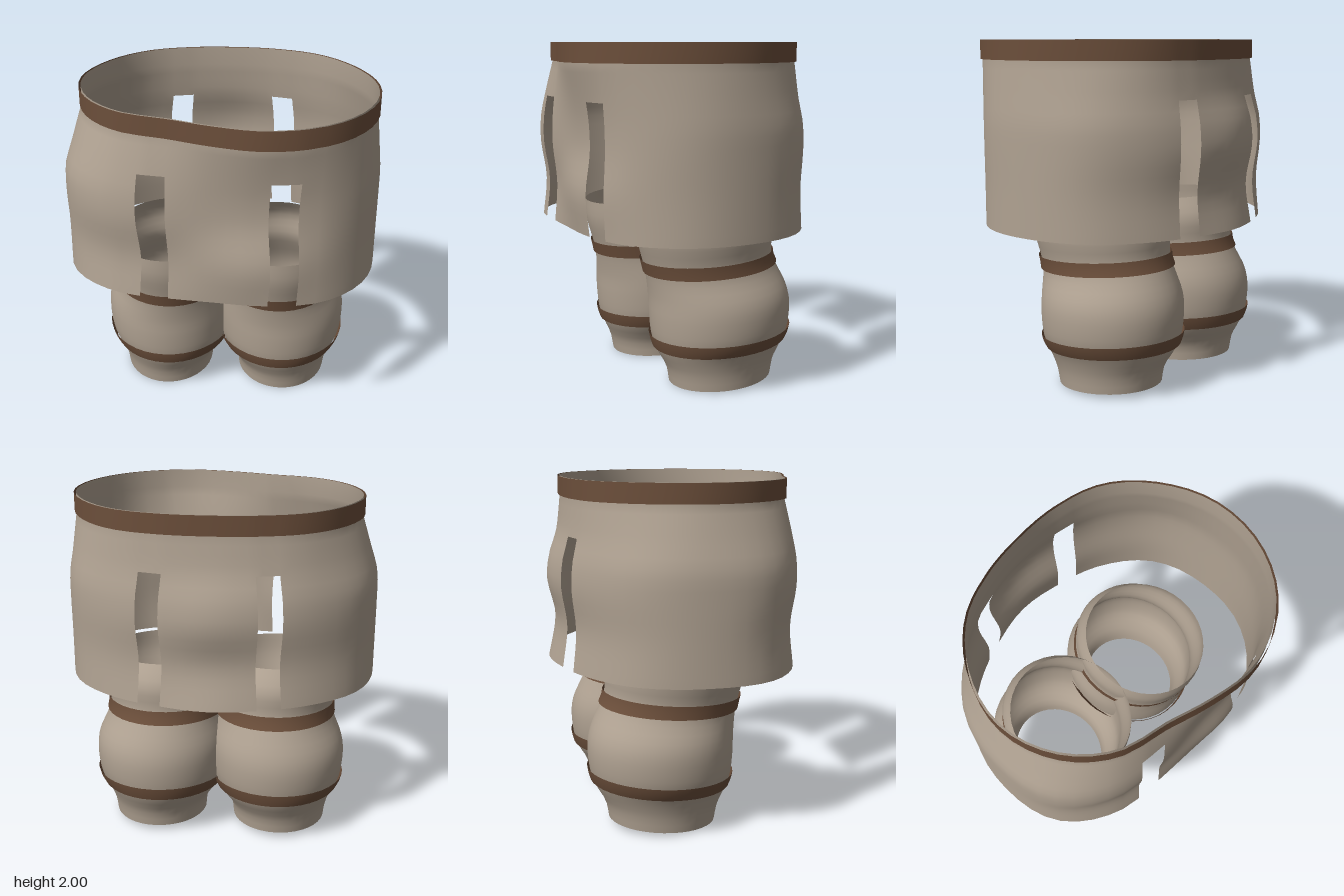
import * as THREE from 'three';

const cloth = new THREE.MeshStandardMaterial({ color: 0xb0a292, side: THREE.DoubleSide });
cloth.name = 'taupe cloth';
const leather = new THREE.MeshStandardMaterial({ color: 0x6c4f3b, side: THREE.DoubleSide });
leather.name = 'brown leather';

const DEG = Math.PI / 180;

// Smooth curve through (xs, ys), xs ascending, clamped at both ends
function sample(xs, ys, x) {
  const n = xs.length;
  if (x <= xs[0]) return ys[0];
  if (x >= xs[n - 1]) return ys[n - 1];
  let i = 0;
  while (x > xs[i + 1]) i++;
  const slope = (k) => {
    const a = Math.max(k - 1, 0), b = Math.min(k + 1, n - 1);
    return (ys[b] - ys[a]) / (xs[b] - xs[a]);
  };
  const h = xs[i + 1] - xs[i], t = (x - xs[i]) / h, t2 = t * t, t3 = t2 * t;
  return (2 * t3 - 3 * t2 + 1) * ys[i] + (t3 - 2 * t2 + t) * h * slope(i)
    + (3 * t2 - 2 * t3) * ys[i + 1] + (t3 - t2) * h * slope(i + 1);
}

// Smooth closed curve through evenly spaced values
function sampleLoop(values, degrees) {
  const n = values.length, u = (((degrees % 360) + 360) % 360) / 360 * n;
  const i = Math.floor(u), t = u - i;
  const [a, b, c, d] = [-1, 0, 1, 2].map((k) => values[(i + k + n) % n]);
  return b + 0.5 * t * (c - a + t * (2 * a - 5 * b + 4 * c - d + t * (3 * (b - c) + d - a)));
}

// Closed sheet: rows run top to bottom, columns run round from +z towards +x
function loft(name, material, rows, cols, point, isOpen = () => false) {
  const pos = [], index = [], n = cols.length;
  for (const y of rows) for (const a of cols) pos.push(...point(a, y));
  for (let i = 0; i < rows.length - 1; i++) {
    for (let j = 0; j < n; j++) {
      const k = (j + 1) % n;
      const next = k === 0 ? cols[0] + 360 : cols[k];
      if (isOpen((cols[j] + next) / 2, (rows[i] + rows[i + 1]) / 2)) continue;
      const a = i * n + j, b = i * n + k, c = a + n, d = b + n;
      index.push(c, d, b, c, b, a);
    }
  }
  const g = new THREE.BufferGeometry();
  g.setAttribute('position', new THREE.Float32BufferAttribute(pos, 3));
  g.setIndex(index);
  g.computeVertexNormals();
  const mesh = new THREE.Mesh(g, material);
  mesh.name = name;
  return mesh;
}

const steps = (from, to, n) => Array.from({ length: n + 1 }, (_, i) => from + (to - from) * i / n);

// ---- Skirt: radii every 22.5 degrees at the waist and the hem
const WAIST = [0.69, 0.795, 0.865, 0.885, 0.865, 0.81, 0.755, 0.68,
  0.645, 0.67, 0.735, 0.78, 0.81, 0.79, 0.735, 0.655];
const HEM = [0.66, 0.73, 0.85, 0.91, 0.908, 0.89, 0.815, 0.75,
  0.745, 0.75, 0.81, 0.89, 0.915, 0.92, 0.82, 0.69];
// How far the cloth has moved from waist to hem radius, by height
const FALL_Y = [0.935, 1.17, 1.4, 1.55, 1.68, 1.89];
const FALL = {
  front: [1, 0.45, 1.2, 1.15, 0.8, 0],
  side: [1, 1, 1, 0.95, 0.6, 0],
  back: [1, 0.52, 1, 0.82, 0.32, 0],
};
// Slots between the panels, in degrees
const SLOTS = [[23.8, 34.8], [148.6, 158.9], [201.1, 211.4], [325.8, 337.6]];
const SLOT_TOP = 1.68;

function skirtPoint(a, y, offset = 0) {
  const c = Math.cos(a * DEG), w = c * c;
  const end = sample(FALL_Y, c > 0 ? FALL.front : FALL.back, y);
  const s = THREE.MathUtils.lerp(sample(FALL_Y, FALL.side, y), end, w);
  const r = THREE.MathUtils.lerp(sampleLoop(WAIST, a), sampleLoop(HEM, a), s) + offset;
  return [r * Math.sin(a * DEG), y, r * c];
}

function skirt() {
  const edges = SLOTS.flat();
  // Even columns, with slot edges replacing any column close to them
  const cols = steps(0, 360, 60).slice(0, -1)
    .filter((a) => edges.every((e) => Math.abs(e - a) > 2))
    .concat(edges).sort((p, q) => p - q);
  const rows = [...steps(2, 1.89, 1), ...steps(1.84, SLOT_TOP, 3), ...steps(1.62, 0.935, 12)];
  const inSlot = (a, y) => y < SLOT_TOP && SLOTS.some(([p, q]) => a > p && a < q);
  const group = new THREE.Group();
  group.name = 'skirt';
  group.add(loft('skirtCloth', cloth, rows, cols, (a, y) => skirtPoint(a, y), inSlot));
  group.add(loft('waistband', leather, [2, 1.89], cols, (a, y) => skirtPoint(a, y, 0.012)));
  return group;
}

// ---- Legs: height, centre x, centre z, half width, half depth
const LEG = [
  [0.02, 0.37, -0.145, 0.28, 0.315],
  [0.12, 0.37, -0.145, 0.295, 0.335],
  [0.22, 0.355, -0.15, 0.345, 0.388],
  [0.3, 0.355, -0.15, 0.385, 0.415],
  [0.45, 0.355, -0.148, 0.402, 0.428],
  [0.55, 0.35, -0.137, 0.395, 0.42],
  [0.68, 0.335, -0.1, 0.355, 0.4],
  [0.76, 0.33, -0.075, 0.35, 0.393],
  [0.92, 0.335, -0.052, 0.372, 0.412],
  [1.04, 0.335, -0.01, 0.35, 0.378],
];
const LEG_Y = LEG.map((s) => s[0]);

function legPoint(side, a, y, offset = 0) {
  const [cx, cz, rx, rz] = [1, 2, 3, 4].map((k) => sample(LEG_Y, LEG.map((s) => s[k]), y));
  const dz = (rz + offset) * Math.cos(a * DEG);
  // Every ring tilts up towards the back
  return [side * cx + (rx + offset) * Math.sin(a * DEG), y - 0.06 * dz, cz + dz];
}

function leg(name, side) {
  const cols = steps(0, 360, 40).slice(0, -1);
  const group = new THREE.Group();
  group.name = name;
  group.add(loft('legCloth', cloth, steps(1.04, 0.02, 24), cols, (a, y) => legPoint(side, a, y)));
  for (const [band, top, bottom] of [['upperLegBand', 0.777, 0.7], ['lowerLegBand', 0.322, 0.245]]) {
    group.add(loft(band, leather, steps(top, bottom, 2), cols,
      (a, y) => legPoint(side, a, y, 0.013)));
  }
  return group;
}

export function createModel() {
  const model = new THREE.Group();
  model.name = 'skirtedTrousers';
  model.add(skirt(), leg('leftLeg', 1), leg('rightLeg', -1));
  return model;
}
